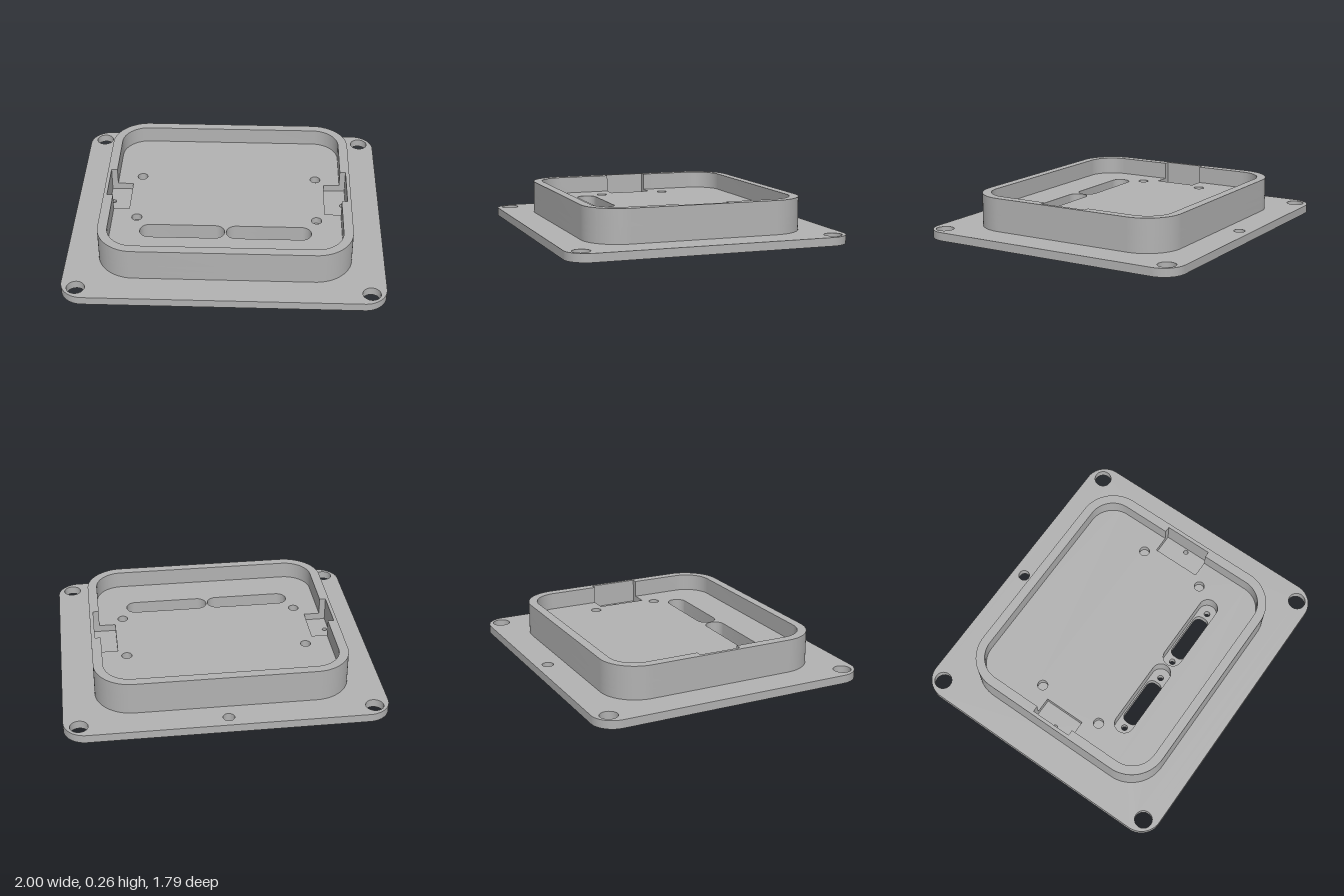
import * as THREE from 'three';
import { toCreasedNormals } from 'three/addons/utils/BufferGeometryUtils.js';

// Shapes are drawn in plan: shape x = model x, shape y = -z.
const circle = (x, z, r) => new THREE.Path().absarc(x, -z, r, 0, Math.PI * 2, false);

// Rounded rectangle; optional notches [depth edge, zMin, zMax] cut into its +x and -x sides.
function roundRect(Type, x0, x1, z0, z1, r, rightNotch, leftNotch) {
  const p = new Type(), a = -z1, b = -z0, q = Math.PI / 2;
  p.moveTo(x0 + r, a);
  p.lineTo(x1 - r, a);
  p.absarc(x1 - r, a + r, r, -q, 0, false);
  if (rightNotch) {
    const [x, n0, n1] = rightNotch;
    p.lineTo(x1, -n1).lineTo(x, -n1).lineTo(x, -n0).lineTo(x1, -n0);
  }
  p.lineTo(x1, b - r);
  p.absarc(x1 - r, b - r, r, 0, q, false);
  p.lineTo(x0 + r, b);
  p.absarc(x0 + r, b - r, r, q, 2 * q, false);
  if (leftNotch) {
    const [x, n0, n1] = leftNotch;
    p.lineTo(x0, -n0).lineTo(x, -n0).lineTo(x, -n1).lineTo(x0, -n1);
  }
  p.lineTo(x0, a + r);
  p.absarc(x0 + r, a + r, r, 2 * q, 3 * q, false);
  return p;
}

function rect(x0, x1, z0, z1) {
  return new THREE.Path([[x0, -z1], [x1, -z1], [x1, -z0], [x0, -z0], [x0, -z1]]
    .map(([x, y]) => new THREE.Vector2(x, y)));
}

export function createModel() {
  const group = new THREE.Group();
  const grey = new THREE.MeshStandardMaterial({ color: 0xb2b2b2 });
  grey.name = 'grey';

  // Extrudes a plan outline with holes between two heights
  function layer(name, shape, holes, y0, y1) {
    shape.holes.push(...holes);
    const geo = new THREE.ExtrudeGeometry(shape, { depth: y1 - y0, bevelEnabled: false, curveSegments: 16 });
    geo.rotateX(-Math.PI / 2);
    geo.translate(0, y0, 0);
    const mesh = new THREE.Mesh(toCreasedNormals(geo, 0.5), grey);
    mesh.name = name;
    group.add(mesh);
  }
  const body = () => roundRect(THREE.Shape, -0.797, 0.797, -0.703, 0.703, 0.235);

  const PLATE = 0.053, POCKET = 0.11, FLOOR = 0.155, TOP = 0.265;
  const slotCentres = [-0.277, 0.273];
  const pins = () => [-0.75, 0.75].map((x) => circle(x, 0, 0.015));
  const recesses = () => slotCentres.map((x) =>
    roundRect(THREE.Path, x - 0.27, x + 0.27, 0.295, 0.42, 0.0624));

  // Mounting plate with corner holes, rear hole, connector slots and screw holes
  const plateHoles = [circle(0, -0.813, 0.036), ...pins()];
  for (const x of [-0.905, 0.905])
    for (const z of [-0.8, 0.8]) plateHoles.push(circle(x, z, 0.056));
  for (const x of slotCentres) {
    plateHoles.push(roundRect(THREE.Path, x - 0.167, x + 0.167, 0.305, 0.41, 0.042));
    for (const s of [-1, 1]) plateHoles.push(circle(x + s * 0.206, 0.358, 0.019));
  }
  layer('mountingPlate', roundRect(THREE.Shape, -1, 1, -0.893, 0.893, 0.14), plateHoles, 0, PLATE);

  // Solid base up to the bottom of the side pockets
  layer('lowerBase', body(), [...recesses(), ...pins()], PLATE, POCKET);

  // Upper base with side pockets and blind screw holes
  const floorHoles = [
    ...recesses(),
    rect(-0.775, -0.635, -0.14, 0.132),
    rect(0.632, 0.773, -0.162, 0.155),
  ];
  for (const x of [-0.578, 0.578])
    for (const z of [-0.222, 0.222]) floorHoles.push(circle(x, z, 0.033));
  layer('upperBase', body(), floorHoles, POCKET, FLOOR);

  // Raised rim, notched on the inside above each side pocket
  const inner = roundRect(THREE.Path, -0.736, 0.736, -0.645, 0.645, 0.17,
    [0.773, -0.162, 0.155], [-0.775, -0.14, 0.132]);
  layer('rim', body(), [inner], FLOOR, TOP);

  return group;
}
